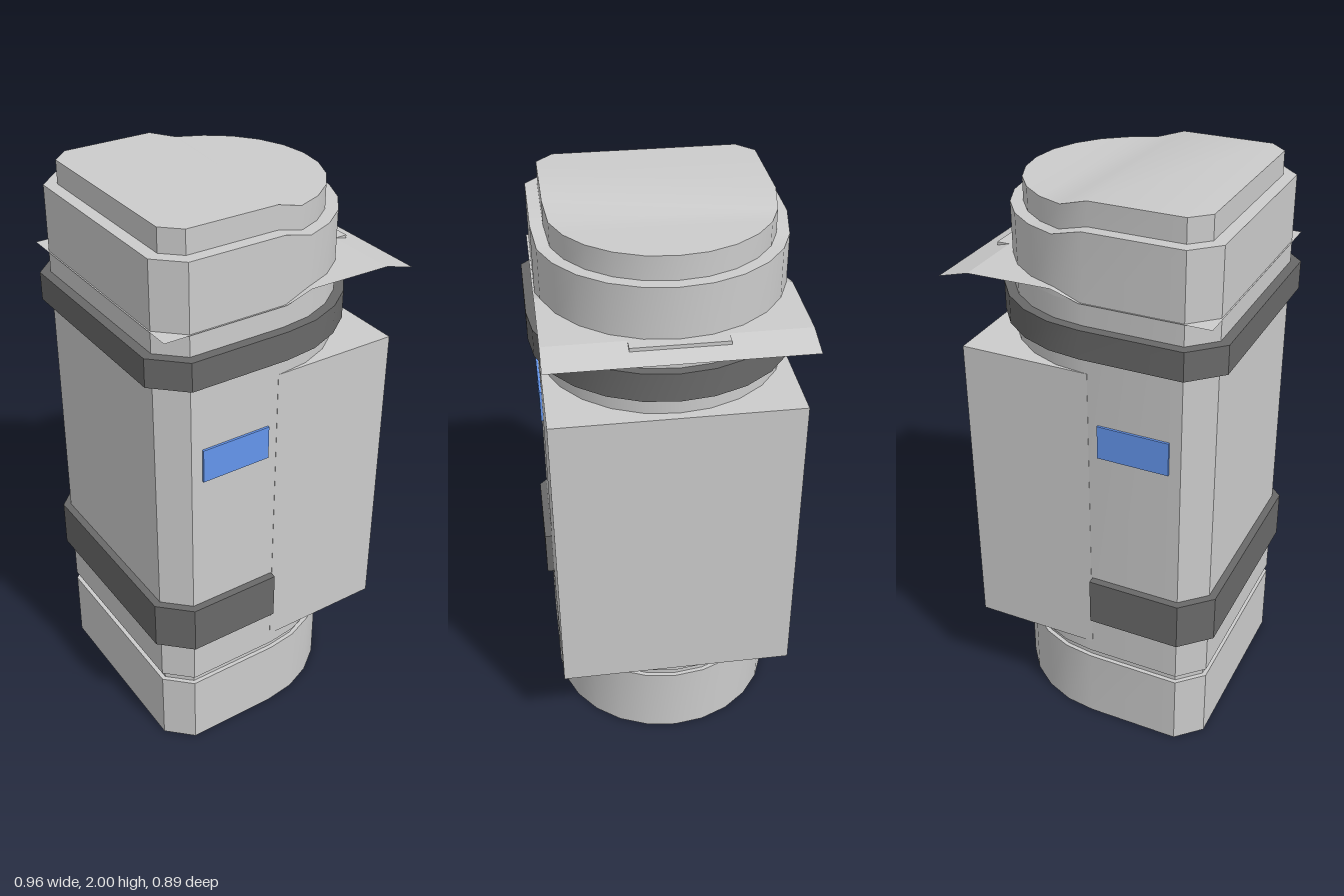
import * as THREE from 'three';
import { toCreasedNormals } from 'three/addons/utils/BufferGeometryUtils.js';

const grey = new THREE.MeshStandardMaterial({ color: 0xcccccc });
const dark = new THREE.MeshStandardMaterial({ color: 0x696969 });
const blue = new THREE.MeshStandardMaterial({ color: 0x6495ed });
const sheet = new THREE.MeshStandardMaterial({ color: 0xcccccc, side: THREE.DoubleSide });

const ARC_X = -0.03, RADIUS = 0.412;

// Half of the D-shaped outline (z >= 0), grown by d: chamfered flat side at -x, arc at +x
function halfOutline(d) {
  const c = d * Math.tan(Math.PI / 8);
  const pts = [[-0.45 - d, 0.33 + c], [-0.365 - c, RADIUS + d]];
  for (let i = 0; i <= 12; i++) {
    const a = (Math.PI / 2) * (1 - i / 12 * 1);
    if (i % 2 === 0) pts.push([ARC_X + (RADIUS + d) * Math.cos(a), Math.max(0, (RADIUS + d) * Math.sin(a))]);
  }
  return pts;
}

// Upright prism over a mirrored half outline; heights may vary with x
function prism(half, bottom, top) {
  const low = typeof bottom === 'function' ? bottom : () => bottom;
  const high = typeof top === 'function' ? top : () => top;
  const pos = [];
  const tri = (a, b, c) => {
    const area = new THREE.Triangle(a, b, c).getArea();
    if (area > 1e-7) for (const p of [a, b, c]) pos.push(p.x, p.y, p.z);
  };
  const quad = (a, b, c, d) => { tri(a, b, c); tri(a, c, d); };
  const at = ([x, z], f) => new THREE.Vector3(x, f(x), z);
  const mirror = ([x, z]) => [x, -z];
  const loop = [...half, ...half.map(mirror).reverse()];
  loop.forEach((p, i) => {
    const q = loop[(i + 1) % loop.length];
    quad(at(p, low), at(q, low), at(q, high), at(p, high));
  });
  for (let i = 0; i < half.length - 1; i++) {
    const p = half[i], q = half[i + 1], pm = mirror(p), qm = mirror(q);
    quad(at(p, high), at(q, high), at(qm, high), at(pm, high));
    quad(at(pm, low), at(qm, low), at(q, low), at(p, low));
  }
  const g = new THREE.BufferGeometry();
  g.setAttribute('position', new THREE.Float32BufferAttribute(pos, 3));
  return toCreasedNormals(g, 0.5);
}

export function createModel() {
  const model = new THREE.Group();
  const add = (name, geometry, material = grey) => {
    const m = new THREE.Mesh(geometry, material);
    m.name = name;
    model.add(m);
    return m;
  };
  const box = (name, x0, x1, y0, y1, z0, z1, material) =>
    add(name, new THREE.BoxGeometry(x1 - x0, y1 - y0, z1 - z0), material)
      .position.set((x0 + x1) / 2, (y0 + y1) / 2, (z0 + z1) / 2);

  // Height that steps down by 0.03 just past the start of the arc
  const stepped = (y) => (x) => y - 0.03 * THREE.MathUtils.clamp((x - ARC_X) / 0.1, 0, 1);

  // Stacked D-shaped column
  add('base', prism(halfOutline(0), 0, 0.27));
  add('groove', prism(halfOutline(-0.015), 0.27, 0.3));
  add('body', prism(halfOutline(0), 0.3, 1.69));
  add('lid', prism(halfOutline(0), 1.69, stepped(1.92)));
  add('lidCap', prism(halfOutline(-0.042), 1.87, stepped(2)));

  // Dark bands: a full ring above, a wrap around the flat side below
  add('upperBand', prism(halfOutline(0.033), 1.515, 1.615), dark);
  const wrap = halfOutline(0.026).slice(0, 2);
  add('lowerBand', prism([...wrap, [-0.045, wrap[1][1]]], 0.465, 0.64), dark);

  // Box on the rounded side
  box('sideBox', -0.04, 0.412, 0.345, 1.45, -0.413, 0.413);

  // Small coloured labels on both faces
  box('frontLabel', -0.325, -0.075, 1.15, 1.27, 0.405, 0.42, blue);
  box('backLabel', -0.325, -0.075, 1.15, 1.27, -0.42, -0.405, blue);

  // Thin bent sheet between body and lid
  const bend = [[-0.455, 1.69], [-0.02, 1.69], [0.075, 1.72], [0.37, 1.717], [0.478, 1.688]];
  const pos = [], index = [];
  bend.forEach(([x, y], i) => {
    pos.push(x, y, 0.418, x, y, -0.418);
    const k = 2 * i;
    if (i) index.push(k - 2, k, k + 1, k - 2, k + 1, k - 1);
  });
  const plate = new THREE.BufferGeometry();
  plate.setAttribute('position', new THREE.Float32BufferAttribute(pos, 3));
  plate.setIndex(index);
  add('sheet', toCreasedNormals(plate, 0.2), sheet);

  // Latch tab through the sheet
  box('latchTab', 0.345, 0.415, 1.69, 1.717, -0.155, 0.155);

  return model;
}
